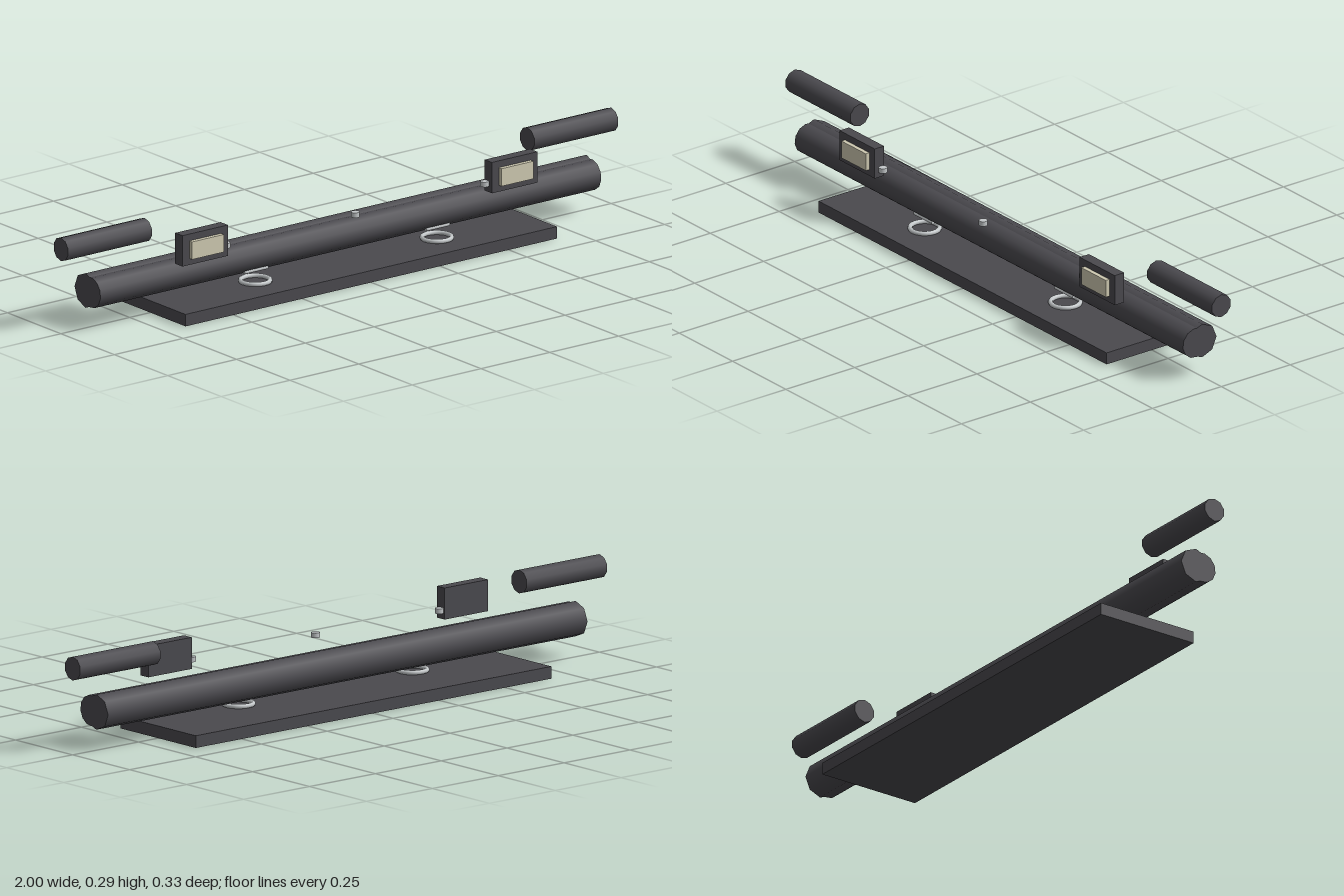
import * as THREE from 'three';

const mat = (name, color) => {
  const m = new THREE.MeshStandardMaterial({ color });
  m.name = name;
  return m;
};

export function createModel() {
  const dark = mat('charcoal', 0x4a494e);
  const metal = mat('bright metal', 0xc4c8ca);
  const cream = mat('cream lens', 0xcfcab2);
  const group = new THREE.Group();

  const add = (name, geometry, material, x, y, z) => {
    const mesh = new THREE.Mesh(geometry, material);
    mesh.name = name;
    mesh.position.set(x, y, z);
    group.add(mesh);
    return mesh;
  };
  // Capped cylinder lying along x, with a corner at the top
  const rod = (r, length, sides) =>
    new THREE.CylinderGeometry(r, r, length, sides, 1, false, Math.PI / 2).rotateZ(Math.PI / 2);

  // Base plate
  add('basePlate', new THREE.BoxGeometry(1.35, 0.036, 0.33), dark, 0, 0.018, 0);

  // Main bar with a slimmer bar merged into its front
  add('mainBar', rod(0.052, 1.82, 8), dark, 0, 0.1125, 0);
  add('frontBar', rod(0.046, 1.82, 12), dark, 0, 0.1125, 0.024).rotation.x = 0.14;

  for (const [side, s] of [['right', -1], ['left', 1]]) {
    // Upper end grips
    add(side + 'Grip', rod(0.035, 0.305, 10), dark, s * 0.8475, 0.254, 0);

    // Lamp housing and its lens
    add(side + 'LampHousing', new THREE.BoxGeometry(0.165, 0.093, 0.034), dark, s * 0.5625, 0.2075, 0.095);
    add(side + 'LampLens', new THREE.BoxGeometry(0.115, 0.053, 0.014), cream, s * 0.5625, 0.207, 0.118);

    // Ring on the plate and the small pin above it
    add(side + 'Ring', new THREE.TorusGeometry(0.043, 0.007, 8, 24).rotateX(Math.PI / 2), metal, s * 0.33, 0.0425, 0.047);
    add(side + 'RingPin', rod(0.006, 0.085, 8), metal, s * 0.33, 0.074, 0.049);
  }

  // Small studs in a row
  for (const x of [-0.47, 0, 0.47]) {
    add('stud', new THREE.CylinderGeometry(0.013, 0.013, 0.015, 10), metal, x, 0.187, 0.09);
  }
  return group;
}
